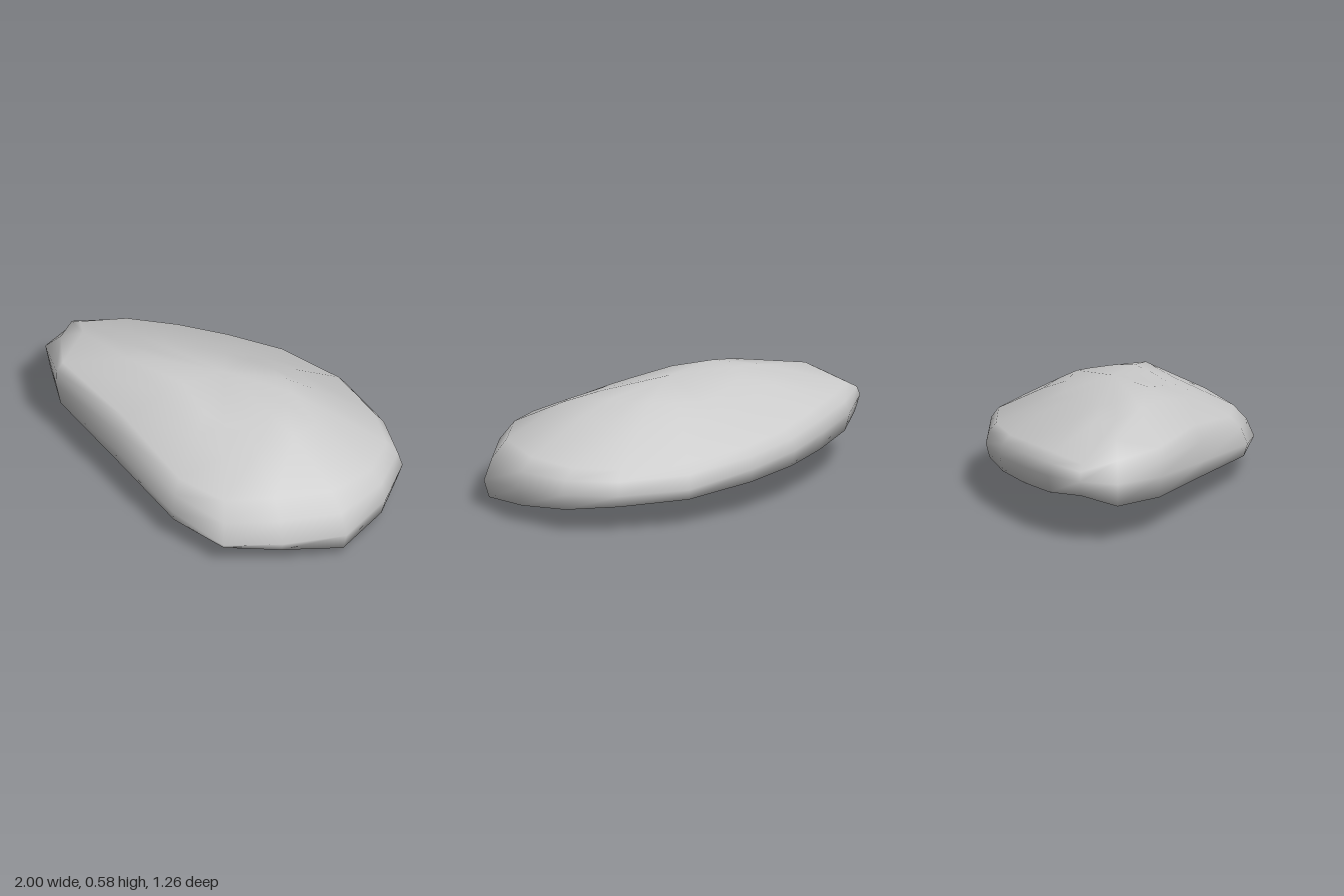
import * as THREE from 'three';

// One row per spoke around the rim:
// [rim x, rim z, rim y, underside edge y, shoulder scale, shoulder y, crown y, inner crown y]
const SPOKES = [
  [-1.0, 0.27, 0.33, 0.25, 0.93, 0.40, 0.51, 0.54],
  [-0.95, 0.45, 0.32, 0.20, 0.79, 0.49, 0.52, 0.55],
  [-0.68, 0.575, 0.30, 0.19, 0.96, 0.44, 0.545, 0.58],
  [-0.14, 0.60, 0.24, 0.16, 0.91, 0.42, 0.52, 0.563],
  [0.40, 0.63, 0.19, 0.13, 0.87, 0.335, 0.445, 0.515],
  [0.72, 0.545, 0.14, 0.11, 0.85, 0.32, 0.425, 0.50],
  [0.88, 0.30, 0.14, 0.09, 0.87, 0.345, 0.46, 0.518],
  [1.0, 0.0, 0.14, 0.05, 0.88, 0.34, 0.505, 0.54],
  [0.91, -0.30, 0.18, 0.09, 0.91, 0.33, 0.48, 0.535],
  [0.74, -0.52, 0.20, 0.12, 0.91, 0.32, 0.455, 0.53],
  [0.48, -0.61, 0.20, 0.14, 0.92, 0.32, 0.465, 0.54],
  [0.12, -0.63, 0.21, 0.155, 0.92, 0.335, 0.465, 0.52],
  [-0.24, -0.51, 0.25, 0.18, 0.92, 0.355, 0.452, 0.508],
  [-0.50, -0.34, 0.27, 0.19, 0.91, 0.37, 0.465, 0.512],
  [-0.70, -0.15, 0.29, 0.20, 0.91, 0.395, 0.478, 0.522],
  [-0.89, 0.06, 0.31, 0.22, 0.91, 0.41, 0.495, 0.53],
];
const TOP = [0.03, 0.585, 0.06];
const BELLY = [0.34, 0, 0.02];

function createStone() {
  // Scale a rim point toward the crown centre
  const upper = (s, k, y) => [TOP[0] + (s[0] - TOP[0]) * k, y, TOP[2] + (s[1] - TOP[2]) * k];
  const edge = (s) => upper(s, 0.972, s[3]);
  // Underside: flatter toward the two ends, more rounded toward front and back
  const lower = (s, t) => {
    const [x, y, z] = edge(s);
    const dx = x - BELLY[0], dz = z - BELLY[2];
    const endness = (dx * dx) / (dx * dx + dz * dz);
    const height = THREE.MathUtils.lerp(0.62, 0.92, endness);
    return [BELLY[0] + dx * t, y * height * (t / 0.7), BELLY[2] + dz * t];
  };
  // Closed cross-sections from the underside up to the crown
  const rings = [
    (s) => lower(s, 0.35),
    (s) => lower(s, 0.7),
    edge,
    (s) => upper(s, 1, s[2]),
    (s) => upper(s, (1 + s[4]) / 2 + 0.018, (s[2] + s[5]) / 2 + 0.01),
    (s) => upper(s, s[4], s[5]),
    (s) => upper(s, 0.57, s[6]),
    (s) => upper(s, 0.38, s[7]),
  ];
  const n = SPOKES.length;
  const positions = [...BELLY];
  rings.forEach((ring) => SPOKES.forEach((s) => positions.push(...ring(s))));
  positions.push(...TOP);

  const index = [];
  const at = (r, i) => 1 + r * n + (i % n);
  const last = rings.length - 1;
  const topIndex = 1 + rings.length * n;
  for (let i = 0; i < n; i++) {
    index.push(0, at(0, i + 1), at(0, i));
    for (let r = 0; r < last; r++) {
      const a = at(r, i), b = at(r, i + 1), c = at(r + 1, i + 1), d = at(r + 1, i);
      index.push(a, b, c, a, c, d);
    }
    index.push(at(last, i), at(last, i + 1), topIndex);
  }

  const geometry = new THREE.BufferGeometry();
  geometry.setAttribute('position', new THREE.Float32BufferAttribute(positions, 3));
  geometry.setIndex(index);
  geometry.computeVertexNormals();
  return geometry;
}

export function createModel() {
  const group = new THREE.Group();
  group.name = 'flatStone';
  const stone = new THREE.Mesh(createStone(), new THREE.MeshStandardMaterial({ color: 0xcccccc }));
  stone.name = 'stone';
  group.add(stone);
  return group;
}
